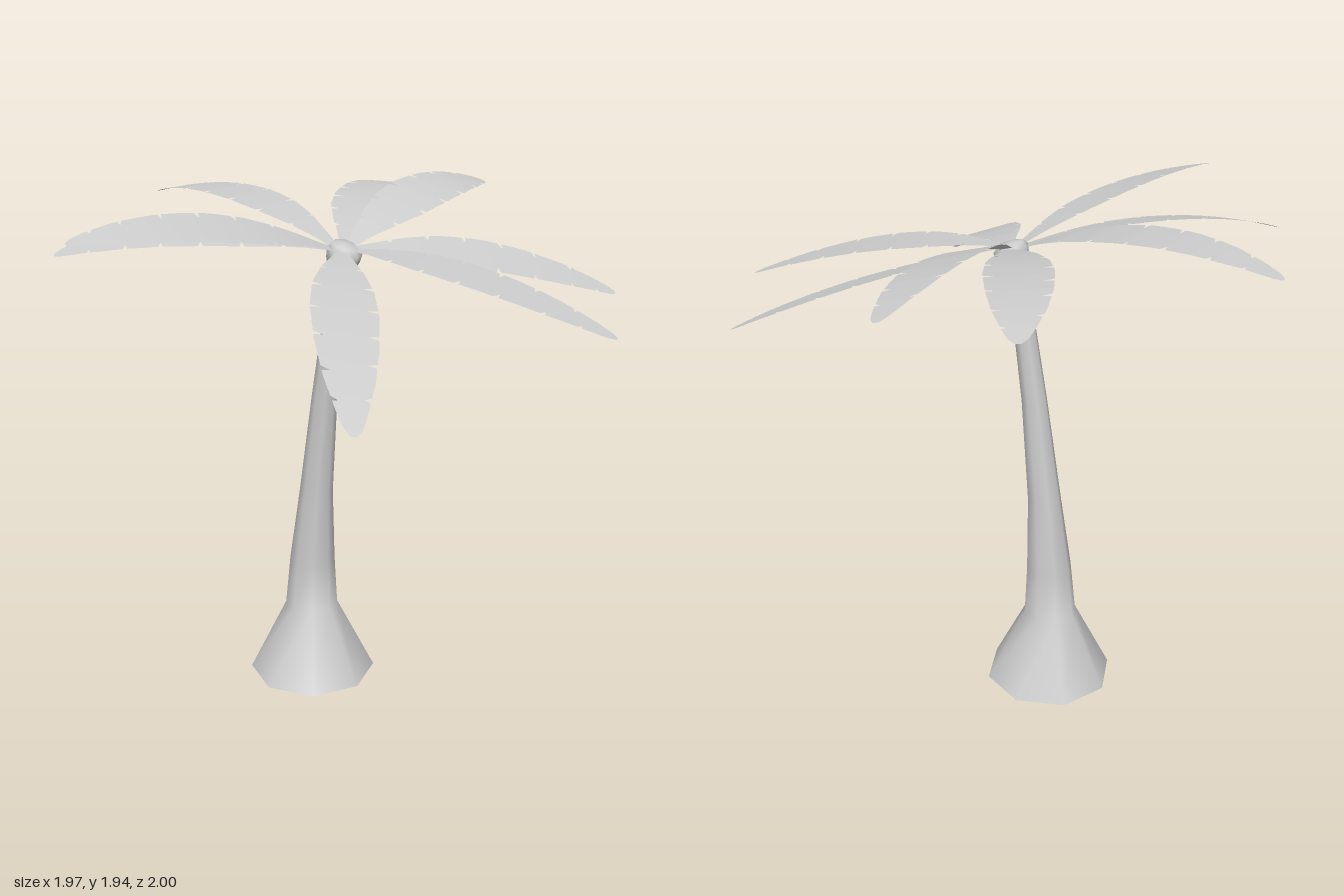
import * as THREE from 'three';

const SIDES = 8;
const CROWN = new THREE.Vector3(-0.03, 1.775, 0.02);

// Builds a mesh from a vertex list and an index list
function makeMesh(name, points, index) {
  const geo = new THREE.BufferGeometry().setFromPoints(points);
  geo.setIndex(index);
  geo.computeVertexNormals();
  const mesh = new THREE.Mesh(geo, new THREE.MeshStandardMaterial({ color: 0xcccccc, side: THREE.DoubleSide }));
  mesh.name = name;
  return mesh;
}

// Leaning trunk: eight-sided rings, open below, closed by a low cap
function makeTrunk() {
  // y, centre z, radius, forward tilt of the ring
  const rings = [
    [0.005, -0.155, 0.25, 0],
    [0.3, -0.157, 0.103, 0],
    [0.5, -0.15, 0.088, 0.03],
    [0.8, -0.125, 0.064, 0.08],
    [1.2, -0.077, 0.048, 0.12],
    [1.66, -0.006, 0.036, 0.17],
    [1.735, 0.018, 0.06, 0.25],
    [1.768, 0.025, 0.064, 0.3],
    [1.79, 0.026, 0.045, 0.3],
  ];
  const points = [], index = [];
  rings.forEach(([y, z, r, tilt], k) => {
    for (let i = 0; i < SIDES; i++) {
      const a = (i / SIDES) * Math.PI * 2;
      const dz = Math.cos(a) * r;
      points.push(new THREE.Vector3(-0.026 + Math.sin(a) * r, y - dz * tilt, z + dz));
      const p = k * SIDES + i, q = k * SIDES + (i + 1) % SIDES;
      if (k < rings.length - 1) index.push(p, q, q + SIDES, p, q + SIDES, p + SIDES);
      else index.push(p, q, rings.length * SIDES);
    }
  });
  points.push(new THREE.Vector3(-0.026, 1.797, 0.026));
  return makeMesh('trunk', points, index);
}

// Half width of a frond along its length
const OUTLINE = [[0, 0.015], [0.1, 0.042], [0.2, 0.075], [0.33, 0.106], [0.48, 0.116],
  [0.65, 0.106], [0.8, 0.083], [0.92, 0.05], [0.975, 0.03], [1, 0.01]];

function halfWidth(t) {
  const i = Math.max(1, OUTLINE.findIndex(([u]) => u >= t));
  const [t0, w0] = OUTLINE[i - 1], [t1, w1] = OUTLINE[i];
  return w0 + (w1 - w0) * (t - t0) / (t1 - t0);
}

// Narrow slits cut into each edge
const SLITS = [[0.22, 0.36, 0.5, 0.64, 0.79, 0.9], [0.16, 0.3, 0.44, 0.58, 0.71, 0.85]];

// Arched leaf blade through a middle point to its tip; roll lifts the edge towards the back
function makeFrond(mid, tip, roll, id) {
  const m = new THREE.Vector3(...mid), end = new THREE.Vector3(...tip);
  const out = end.clone().sub(CROWN).setY(0).normalize();
  const root = CROWN.clone().addScaledVector(out, 0.03);
  const control = m.clone().multiplyScalar(2).sub(root.clone().add(end).multiplyScalar(0.5));
  const curve = new THREE.QuadraticBezierCurve3(root, control, end);
  const side = new THREE.Vector3(out.z, 0, -out.x); // right-hand edge seen from the trunk
  side.y = -side.z * roll;
  side.normalize();

  const shift = ((id * 3) % 5 - 2) * 0.008;
  const slits = SLITS.map((s, k) => s.map(t => t + (k ? -shift : shift)));
  const stations = OUTLINE.map(([t]) => t);
  slits.flat().forEach(t => stations.push(t - 0.012, t, t + 0.006));
  stations.sort((a, b) => a - b);

  const points = [], index = [];
  stations.forEach((t, k) => {
    const c = curve.getPoint(t);
    const [l, r] = slits.map(list => halfWidth(t) * (list.includes(t) ? 0.68 : 1));
    points.push(c.clone().addScaledVector(side, -l), c, c.clone().addScaledVector(side, r));
    if (k === 0) return;
    const b = k * 3, a = b - 3;
    for (let j = 0; j < 2; j++) {
      index.push(a + j, a + j + 1, b + j + 1, a + j, b + j + 1, b + j);
    }
  });
  return makeMesh('frond' + (id + 1), points, index);
}

export function createModel() {
  const model = new THREE.Group();
  model.name = 'palmTree';
  model.add(makeTrunk());

  // middle point, tip, roll
  const fronds = [
    [[-0.025, 1.908, -0.5], [-0.02, 1.85, -1.0], 0],
    [[0.43, 1.87, -0.29], [0.83, 1.83, -0.535], 0.05],
    [[0.5, 1.9, -0.06], [0.985, 1.865, -0.145], 0.28],
    [[0.41, 1.725, 0.34], [0.745, 1.585, 0.67], 0.38],
    [[0.09, 1.74, 0.5], [0.255, 1.58, 0.995], 0.1],
    [[-0.39, 1.675, 0.37], [-0.74, 1.445, 0.735], 0.3],
    [[-0.5, 1.9, -0.15], [-0.985, 1.9, -0.295], 0.28],
    [[-0.42, 1.84, -0.37], [-0.765, 1.765, -0.685], 0.33],
  ];
  const crown = new THREE.Group();
  crown.name = 'crown';
  fronds.forEach(([mid, tip, roll], i) => crown.add(makeFrond(mid, tip, roll, i)));
  model.add(crown);
  return model;
}
